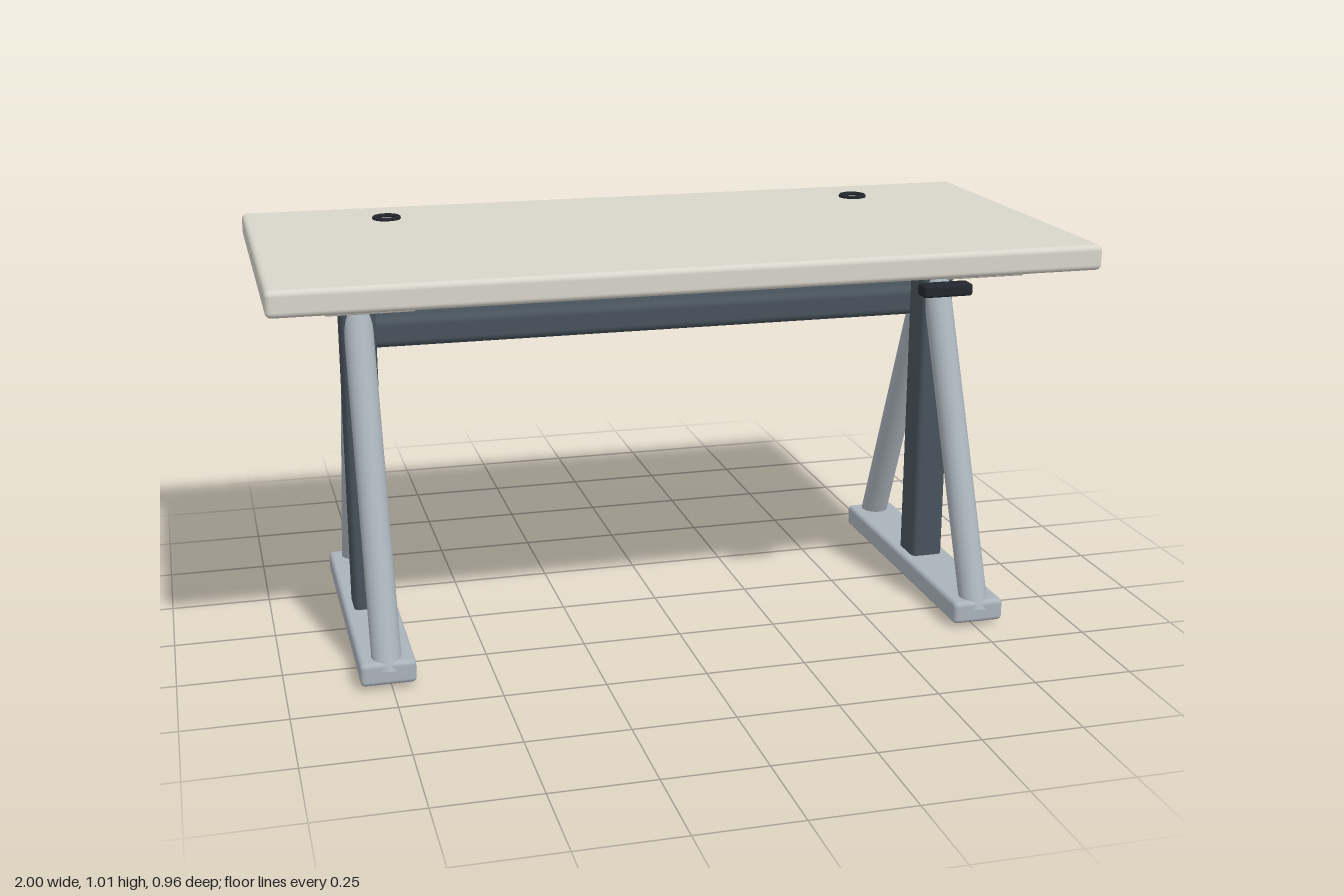
import * as THREE from 'three';
import { RoundedBoxGeometry } from 'three/addons/geometries/RoundedBoxGeometry.js';

const material = (color) => new THREE.MeshStandardMaterial({ color });

export function createModel() {
  const desk = new THREE.Group();
  desk.name = 'desk';
  const wood = material(0xd8d5cb);
  const slate = material(0x48535c);
  const steel = material(0xaab3bb);
  const black = material(0x23272d);

  const add = (parent, name, geometry, mat, x, y, z) => {
    const mesh = new THREE.Mesh(geometry, mat);
    mesh.name = name;
    mesh.position.set(x, y, z);
    parent.add(mesh);
    return mesh;
  };

  // Rounded box given by its [min, max] range on each axis
  const addBox = (parent, name, mat, [x0, x1], [y0, y1], [z0, z1], radius) =>
    add(parent, name, new RoundedBoxGeometry(x1 - x0, y1 - y0, z1 - z0, 4, radius), mat,
      (x0 + x1) / 2, (y0 + y1) / 2, (z0 + z1) / 2);

  // Round bar between two points
  const addRod = (parent, name, mat, from, to, radius) => {
    const dir = to.clone().sub(from);
    const mid = from.clone().add(to).multiplyScalar(0.5);
    const rod = add(parent, name, new THREE.CylinderGeometry(radius, radius, dir.length(), 32),
      mat, mid.x, mid.y, mid.z);
    rod.quaternion.setFromUnitVectors(new THREE.Vector3(0, 1, 0), dir.normalize());
  };

  // Worktop
  addBox(desk, 'tabletop', wood, [-1, 1], [0.94, 1.003], [-0.479, 0.476], 0.014);

  // Legs: foot, column, two slanted struts and a mounting plate, plus a cable ring above
  for (const side of [-1, 1]) {
    const leg = new THREE.Group();
    leg.name = side > 0 ? 'leftLeg' : 'rightLeg';
    leg.position.x = side * 0.758;
    desk.add(leg);
    addBox(leg, 'foot', steel, [-0.067, 0.067], [0.01, 0.068], [-0.396, 0.396], 0.012);
    addBox(leg, 'column', slate, [-0.043, 0.043], [0, 0.903], [-0.05, 0.05], 0.015);
    addBox(leg, 'mountingPlate', wood, [-0.104, 0.104], [0.905, 0.934], [-0.334, 0.334], 0.005);
    for (const end of [-1, 1]) {
      addRod(leg, end > 0 ? 'frontStrut' : 'backStrut', steel,
        new THREE.Vector3(0, 0.87, end * 0.01), new THREE.Vector3(0, 0.033, end * 0.368), 0.036);
    }
    const ring = add(desk, 'cableRing', new THREE.TorusGeometry(0.031, 0.006, 12, 40), black,
      side * 0.64, 1.006, -0.302);
    ring.rotation.x = Math.PI / 2;
  }

  // Crossbar joining the legs behind the columns
  addBox(desk, 'crossbar', slate, [-0.765, 0.765], [0.722, 0.799], [-0.149, -0.05], 0.02);

  // Cable tray under the back edge
  addBox(desk, 'cableTray', black, [-0.66, 0.657], [0.811, 0.895], [-0.373, -0.241], 0.018);

  // Height control under the front edge
  addBox(desk, 'heightControl', black, [0.535, 0.66], [0.898, 0.928], [0.436, 0.481], 0.007);

  return desk;
}
